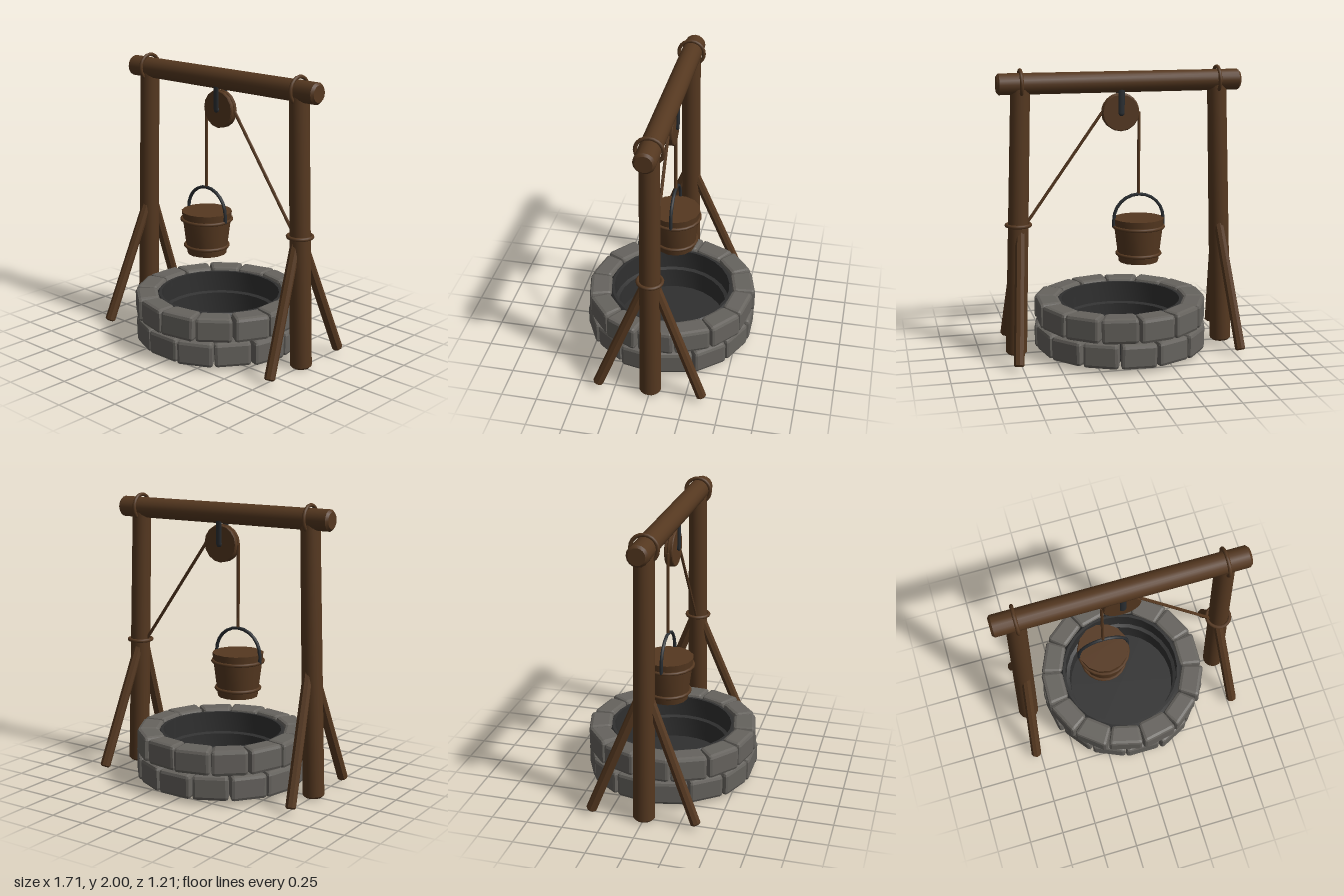
import * as THREE from 'three';
import { toCreasedNormals } from 'three/addons/utils/BufferGeometryUtils.js';
import { RoundedBoxGeometry } from 'three/addons/geometries/RoundedBoxGeometry.js';

const material = (name, color) => {
  const m = new THREE.MeshStandardMaterial({ color });
  m.name = name;
  return m;
};
const V = (x, y, z) => new THREE.Vector3(x, y, z);

export function createModel() {
  const wood = material('wood', 0x553820);
  const stone = material('stone', 0x66635e);
  const dark = material('dark lining', 0x303030);
  const iron = material('iron', 0x2a2e32);

  const model = new THREE.Group();
  model.name = 'well';

  const add = (name, geometry, mat, parent = model) => {
    const mesh = new THREE.Mesh(geometry, mat);
    mesh.name = name;
    parent.add(mesh);
    return mesh;
  };

  let seed = 7;
  const jitter = (amount) => {
    seed = (seed * 16807) % 2147483647;
    return (seed / 2147483647 - 0.5) * 2 * amount;
  };

  // Turned shape from [radius, height] pairs, with crisp edges
  const turned = (profile, sides) => toCreasedNormals(
    new THREE.LatheGeometry(profile.map(([r, y]) => new THREE.Vector2(r, y)), sides), 0.6);

  // Round pole between two points, with bevelled ends
  const pole = (name, a, b, ra, rb, sides = 14, bevel = 0.015, mat = wood) => {
    const length = a.distanceTo(b);
    const mesh = add(name, turned([
      [0, 0], [ra - bevel, 0], [ra, bevel],
      [rb, length - bevel], [rb - bevel, length], [0, length],
    ], sides), mat);
    mesh.position.copy(a);
    mesh.quaternion.setFromUnitVectors(V(0, 1, 0), b.clone().sub(a).normalize());
    return mesh;
  };

  const ring = (name, radius, tube, x, y, mat = wood) => {
    const mesh = add(name, new THREE.TorusGeometry(radius, tube, 8, 20), mat);
    mesh.position.set(x, y, 0);
    return mesh;
  };

  // Two staggered courses of tapered, slightly uneven stones
  const wall = new THREE.Group();
  wall.name = 'stoneWall';
  model.add(wall);
  const count = 14;
  for (let course = 0; course < 2; course++) {
    for (let i = 0; i < count; i++) {
      const depth = 0.155 + jitter(0.008);
      const g = new RoundedBoxGeometry(0.258 + jitter(0.006), 0.175 + jitter(0.005), depth, 1, 0.025);
      const p = g.attributes.position;
      for (let k = 0; k < p.count; k++) {
        const t = 0.5 - p.getZ(k) / depth;
        p.setX(k, p.getX(k) * (1 - 0.22 * t));
      }
      g.computeVertexNormals();
      const s = add('stone', g, stone, wall);
      const angle = ((i + course * 0.5) / count) * Math.PI * 2;
      const r = 0.52 + jitter(0.008);
      s.position.set(Math.sin(angle) * r, 0.113 + course * 0.177, Math.cos(angle) * r);
      s.rotation.set(jitter(0.03), angle + jitter(0.04), jitter(0.02), 'YXZ');
    }
  }

  // Dark shaft lining with a closed floor
  add('shaftLining', turned([
    [0, 0.03], [0.43, 0.03], [0.46, 0.06], [0.46, 0.34], [0.44, 0.36],
    [0.42, 0.36], [0.42, 0.21], [0.395, 0.2], [0.39, 0.045], [0, 0.045],
  ], 28), dark);

  // Posts, braces and lashings on both sides
  for (const s of [-1, 1]) {
    pole('post', V(s * 0.75, 0, 0), V(s * 0.69, 1.88, 0), 0.075, 0.067, 16);
    for (const z of [-1, 1]) {
      pole('brace', V(s * 0.782, 0.03, z * 0.368), V(s * 0.71, 0.89, z * 0.03), 0.037, 0.035, 8, 0.01);
    }
    ring('beamLashing', 0.09, 0.013, s * 0.69, 1.897).rotation.y = Math.PI / 2;
  }
  ring('ropeLashing', 0.082, 0.013, 0.72, 0.925).rotation.x = Math.PI / 2;

  // Crossbeam
  pole('crossbeam', V(-0.853, 1.895, 0), V(0.853, 1.895, 0), 0.073, 0.073, 16, 0.016);

  // Pulley hung from an iron bracket
  const pulleyY = 1.685;
  pole('pulley', V(0, pulleyY, -0.03), V(0, pulleyY, 0.03), 0.13, 0.13, 16, 0.006);
  for (const z of [-1, 1]) {
    const strap = add('pulleyStrap', new THREE.CapsuleGeometry(0.022, 0.16, 4, 8), iron);
    strap.scale.z = 0.5;
    strap.position.set(0, 1.765, z * 0.042);
  }
  pole('axle', V(0, pulleyY, -0.05), V(0, pulleyY, 0.05), 0.018, 0.018, 8, 0.004, iron);

  // Rope: drop to the bucket, wrap over the pulley, then down to the post
  const rope = (name, a, b) => pole(name, a, b, 0.011, 0.011, 6, 0.001);
  rope('bucketRope', V(-0.132, 1.11, 0), V(-0.132, 1.685, 0));
  rope('postRope', V(0.13, 1.685, 0), V(0.665, 0.93, 0));
  const wrap = add('pulleyRope', new THREE.TorusGeometry(0.127, 0.008, 6, 12, Math.PI), wood);
  wrap.position.set(0, pulleyY, 0);

  // Closed bucket with hoops and an arched handle
  const bx = -0.132;
  const bucket = add('bucket', turned([
    [0, 0.625], [0.14, 0.625], [0.179, 0.935], [0, 0.935],
  ], 14), wood);
  bucket.position.x = bx;
  ring('upperHoop', 0.176, 0.012, bx, 0.876).rotation.x = Math.PI / 2;
  ring('lowerHoop', 0.153, 0.012, bx, 0.682).rotation.x = Math.PI / 2;
  const arch = [V(-0.178, 0.875, 0)];
  for (let i = 0; i <= 10; i++) {
    const a = Math.PI * (1 - i / 10);
    arch.push(V(Math.cos(a) * 0.178, 0.93 + Math.sin(a) * 0.175, 0));
  }
  arch.push(V(0.178, 0.875, 0));
  const handle = add('bucketHandle',
    new THREE.TubeGeometry(new THREE.CatmullRomCurve3(arch), 14, 0.012, 6), iron);
  handle.position.x = bx;

  return model;
}
